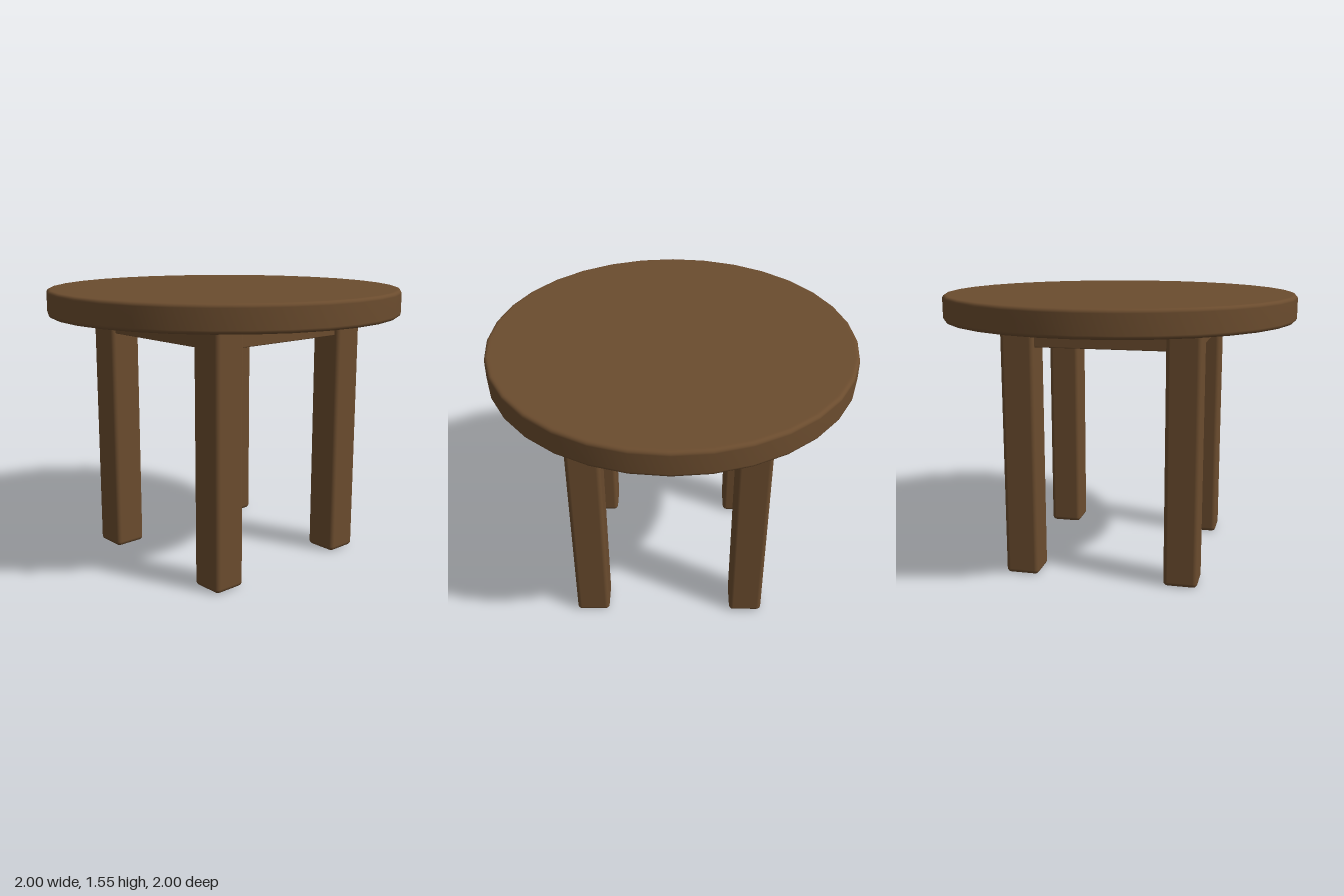
import * as THREE from 'three';
import { RoundedBoxGeometry } from 'three/addons/geometries/RoundedBoxGeometry.js';

const wood = new THREE.MeshStandardMaterial({ color: 0x6b4c2e });
wood.name = 'brown wood';

const TOP_Y = 1.55, UNDER_Y = 1.405;
const LEG_X = [-0.438, 0.465], LEG_Z = [-0.449, 0.449];
const LEG = 0.188, APRON = 0.14, APRON_Y = 1.29;

// Round-edged box spanning y0..y1
function block(name, w, d, y0, y1, x, z, radius) {
  const mesh = new THREE.Mesh(new RoundedBoxGeometry(w, y1 - y0, d, 3, radius), wood);
  mesh.name = name;
  mesh.position.set(x, (y0 + y1) / 2, z);
  return mesh;
}

// 32-sided disc with a softly rounded rim
function tableTop() {
  const r = 0.02, profile = [new THREE.Vector2(0, UNDER_Y), new THREE.Vector2(0.97, UNDER_Y)];
  for (const [cy, start] of [[UNDER_Y + r, -Math.PI / 2], [TOP_Y - r, 0]]) {
    for (let i = 0; i <= 4; i++) {
      const a = start + (i / 4) * Math.PI / 2;
      profile.push(new THREE.Vector2(1 - r + r * Math.cos(a), cy + r * Math.sin(a)));
    }
  }
  profile.push(new THREE.Vector2(0.97, TOP_Y), new THREE.Vector2(0, TOP_Y));
  const mesh = new THREE.Mesh(new THREE.LatheGeometry(profile, 32), wood);
  mesh.name = 'tableTop';
  return mesh;
}

export function createModel() {
  const group = new THREE.Group();
  group.name = 'roundTable';
  group.add(tableTop());

  // Four square legs, tucked slightly into the top
  for (const x of LEG_X) for (const z of LEG_Z) {
    const name = (z > 0 ? 'front' : 'back') + (x > 0 ? 'Left' : 'Right') + 'Leg';
    group.add(block(name, LEG, LEG, 0, UNDER_Y + 0.03, x, z, 0.025));
  }

  // Apron rails joining the legs under the top
  const midX = (LEG_X[0] + LEG_X[1]) / 2, spanX = LEG_X[1] - LEG_X[0], spanZ = LEG_Z[1] - LEG_Z[0];
  for (const z of LEG_Z) {
    group.add(block(z > 0 ? 'frontApron' : 'backApron', spanX, APRON, APRON_Y, UNDER_Y + 0.02, midX, z, 0.005));
  }
  for (const x of LEG_X) {
    group.add(block(x > 0 ? 'leftApron' : 'rightApron', APRON, spanZ, APRON_Y, UNDER_Y + 0.02, x, 0, 0.005));
  }
  return group;
}
